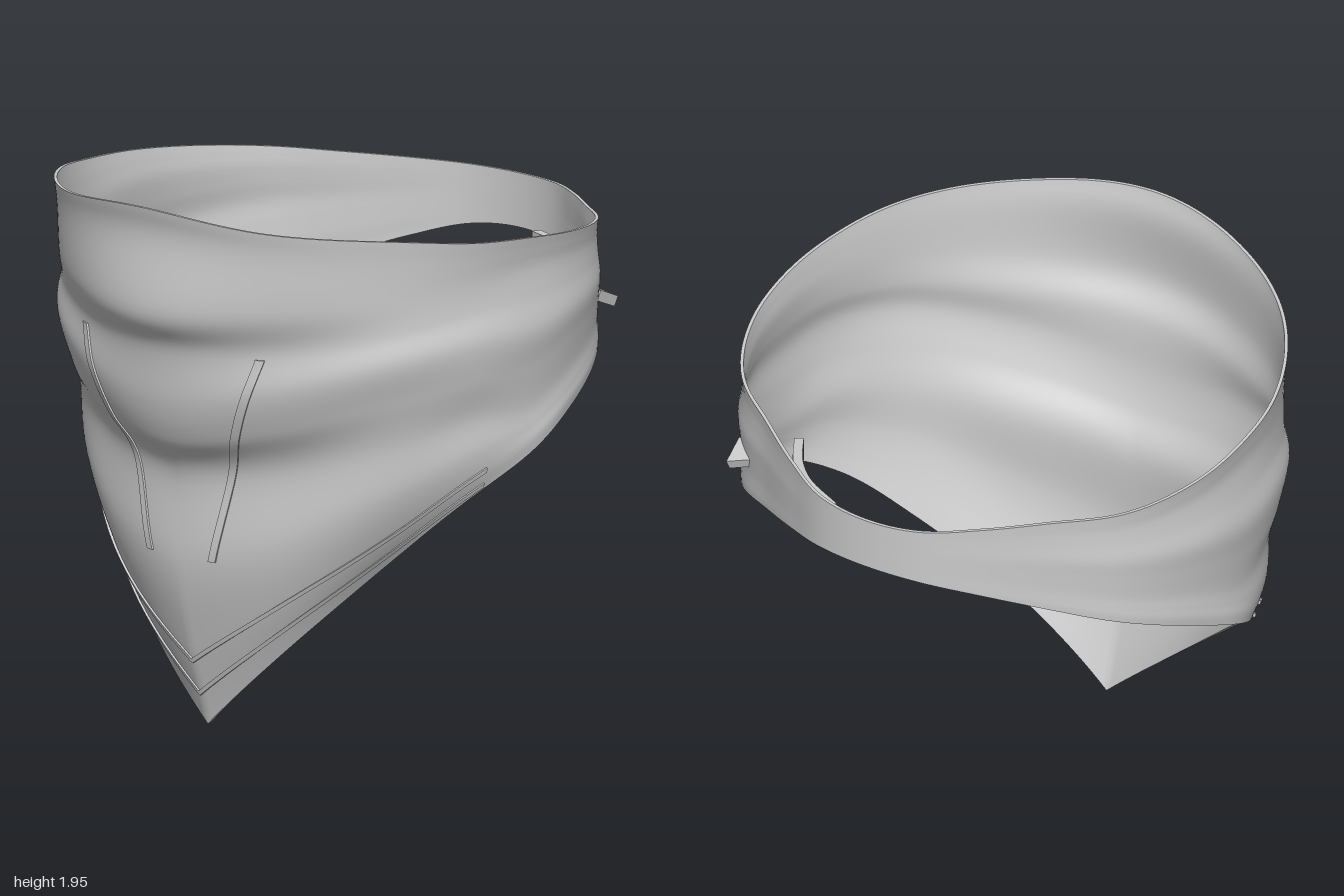
import * as THREE from 'three';
import { toCreasedNormals } from 'three/addons/utils/BufferGeometryUtils.js';

const material = new THREE.MeshStandardMaterial({ color: 0xcccccc, side: THREE.DoubleSide });

// Smooth curve through (xs, ys); flat flags level the slope at the first / last point
function smooth(xs, ys, x, flatStart = false, flatEnd = false) {
  const n = xs.length - 1;
  let i = 0;
  while (i < n - 1 && x > xs[i + 1]) i++;
  const sec = k => (ys[k + 1] - ys[k]) / (xs[k + 1] - xs[k]);
  const slope = k => {
    if (k === 0) return flatStart ? 0 : sec(0);
    if (k === n) return flatEnd ? 0 : sec(n - 1);
    const a = xs[k] - xs[k - 1], b = xs[k + 1] - xs[k];
    return (sec(k - 1) * b + sec(k) * a) / (a + b);
  };
  const h = xs[i + 1] - xs[i], t = (x - xs[i]) / h, t2 = t * t, t3 = t2 * t;
  return (2 * t3 - 3 * t2 + 1) * ys[i] + (t3 - 2 * t2 + t) * h * slope(i)
    + (3 * t2 - 2 * t3) * ys[i + 1] + (t3 - t2) * h * slope(i + 1);
}

// Fold lines of the cloth, top hem to bottom hem, at the front azimuths 0, 30, 60, 75, 90
const azimuths = [0, 30, 60, 75, 90];
const foldY = [
  [1.95, 1.905, 1.87, 1.84, 1.82], [1.83, 1.81, 1.78, 1.77, 1.77],
  [1.57, 1.60, 1.65, 1.68, 1.70], [1.43, 1.46, 1.54, 1.58, 1.60],
  [1.22, 1.31, 1.43, 1.47, 1.48], [1.08, 1.16, 1.29, 1.33, 1.35],
  [0.93, 1.00, 1.13, 1.19, 1.21], [0.60, 0.73, 0.95, 1.06, 1.13],
  [0.30, 0.52, 0.80, 0.96, 1.08], [0, 0.32, 0.67, 0.87, 1.03]];
const foldR = [
  [0.99, 0.985, 0.975, 0.97, 0.965], [0.972, 0.972, 0.967, 0.961, 0.957],
  [0.997, 0.965, 0.962, 0.955, 0.951], [0.93, 0.925, 0.965, 0.962, 0.963],
  [0.907, 0.93, 0.982, 0.985, 0.985], [0.865, 0.885, 0.95, 0.967, 0.97],
  [0.787, 0.81, 0.91, 0.935, 0.955], [0.79, 0.81, 0.895, 0.935, 0.96],
  [0.73, 0.76, 0.845, 0.915, 0.965], [0.64, 0.675, 0.775, 0.88, 0.96]];

// Narrowing back band: azimuth, radius, top, bottom, remaining fold depth
const back = [
  [105, 0.968, 1.795, 1.16, 0.75], [124, 0.962, 1.766, 1.295, 0.35], [140, 0.922, 1.75, 1.375, 0.15],
  [155, 0.94, 1.735, 1.45, 0.05], [168, 0.985, 1.722, 1.505, 0], [180, 0.997, 1.718, 1.52, 0]];
for (const [az, r, top, bottom, depth] of back) {
  azimuths.push(az);
  foldY.forEach((row, k) => {
    const t = (1.82 - row[4]) / 0.79;
    row.push(top + (bottom - top) * t);
    foldR[k].push(r + (foldR[k][4] - 0.962) * depth);
  });
}
const rowIds = foldY.map((_, k) => k);

// Cross-section of the cloth at one azimuth (degrees, positive toward +x);
// the upper folds round over the centre line, the lower ones come to a point
function column(az) {
  const a = Math.abs(az);
  const ys = foldY.map((row, k) => smooth(azimuths, row, a, k < 6, true));
  const rs = foldR.map(row => smooth(azimuths, row, a, true, true));
  return { y: v => smooth(rowIds, ys, v), r: v => smooth(rowIds, rs, v) };
}

function polar(az, r, y) {
  const a = az * Math.PI / 180;
  return new THREE.Vector3(r * Math.sin(a), y, r * Math.cos(a));
}

// Point on the cloth at a given azimuth and height, lifted outward
function onCloth(az, y, lift) {
  const c = column(az);
  let lo = 0, hi = 9;
  for (let k = 0; k < 30; k++) {
    const mid = (lo + hi) / 2;
    if (c.y(mid) > y) lo = mid; else hi = mid;
  }
  return polar(az, c.r(lo) + lift, y);
}

function buildGeometry(points, index) {
  const g = new THREE.BufferGeometry();
  g.setAttribute('position', new THREE.Float32BufferAttribute(points.flatMap(p => p.toArray()), 3));
  g.setIndex(index);
  return toCreasedNormals(g, 0.7);
}

// Closed loop of thin cloth: each column runs down the outside and back up the inside
function clothGeometry(cols = 200, rows = 72, thickness = 0.012) {
  const points = [], index = [], ring = 2 * (rows + 1);
  for (let i = 0; i < cols; i++) {
    const az = -180 + 360 * i / cols, c = column(az);
    for (let j = 0; j < ring; j++) {
      const inside = j > rows;
      const v = 9 * (inside ? ring - 1 - j : j) / rows;
      points.push(polar(az, c.r(v) - (inside ? thickness : 0), c.y(v)));
    }
  }
  for (let i = 0; i < cols; i++) {
    for (let j = 0; j < ring; j++) {
      const p = i * ring, q = ((i + 1) % cols) * ring, k = (j + 1) % ring;
      index.push(p + j, p + k, q + j, q + j, p + k, q + k);
    }
  }
  return buildGeometry(points, index);
}

// Four-sided strip swept through frames { p, u, v }: centre and two half-extents
function stripGeometry(frames) {
  const points = [], index = [];
  for (const { p, u, v } of frames) {
    for (const [a, b] of [[-1, -1], [1, -1], [1, 1], [-1, 1]]) {
      points.push(p.clone().addScaledVector(u, a).addScaledVector(v, b));
    }
  }
  for (let i = 0; i < frames.length - 1; i++) {
    for (let k = 0; k < 4; k++) {
      const a = i * 4 + k, b = i * 4 + (k + 1) % 4;
      index.push(a, b, a + 4, b, b + 4, a + 4);
    }
  }
  const e = (frames.length - 1) * 4;
  index.push(0, 2, 1, 0, 3, 2, e, e + 1, e + 2, e, e + 2, e + 3);
  return buildGeometry(points, index);
}

// Frame of a trim lying on the cloth between two of its points
function trimFrame(a, b, az) {
  return {
    p: a.clone().add(b).multiplyScalar(0.5),
    u: b.clone().sub(a).multiplyScalar(0.5),
    v: polar(az, 0.005, 0),
  };
}

// Raised trim running parallel to the pointed hem
function hemTrim(centreGap, endGap) {
  const frames = [];
  for (let i = 0; i <= 80; i++) {
    const az = -79 + 158 * i / 80;
    const y = column(az).y(9) + centreGap + (endGap - centreGap) * Math.abs(az) / 79;
    frames.push(trimFrame(onCloth(az, y - 0.009, 0.004), onCloth(az, y + 0.009, 0.004), az));
  }
  return stripGeometry(frames);
}

// Slanted seam beside the nose
function noseSeam(side) {
  const ys = [0.64, 1.03, 1.24, 1.43], az = [10.7, 18, 22.5, 27], frames = [];
  for (let i = 0; i <= 40; i++) {
    const y = 0.64 + 0.79 * i / 40, a = side * smooth(ys, az, y);
    frames.push(trimFrame(onCloth(a - 1.1, y, 0.002), onCloth(a + 1.1, y, 0.002), a));
  }
  return stripGeometry(frames);
}

// Loose tail of the knot: path, width direction, end half-widths and half-thickness
function knotTail(path, across, widths, thickness) {
  const curve = new THREE.CatmullRomCurve3(path.map(p => new THREE.Vector3(...p)));
  const dir = new THREE.Vector3(...across).normalize(), frames = [];
  for (let i = 0; i <= 16; i++) {
    const t = i / 16, normal = curve.getTangent(t).cross(dir).normalize();
    frames.push({
      p: curve.getPoint(t),
      u: dir.clone().multiplyScalar(THREE.MathUtils.lerp(...widths, t)),
      v: normal.multiplyScalar(thickness),
    });
  }
  return stripGeometry(frames);
}

export function createModel() {
  const group = new THREE.Group();
  const add = (name, geometry) => {
    const mesh = new THREE.Mesh(geometry, material);
    mesh.name = name;
    group.add(mesh);
  };
  add('cloth', clothGeometry());
  add('upperHemTrim', hemTrim(0.245, 0.08));
  add('lowerHemTrim', hemTrim(0.12, 0.02));
  add('leftNoseSeam', noseSeam(1));
  add('rightNoseSeam', noseSeam(-1));
  add('innerKnotTail', knotTail(
    [[0.25, 1.55, -0.81], [0.40, 1.55, -0.74], [0.50, 1.54, -0.64], [0.57, 1.53, -0.52]],
    [0, 1, 0], [0.03, 0.045], 0.017));
  add('outerKnotTail', knotTail(
    [[0.63, 1.49, -0.54], [0.70, 1.485, -0.565], [0.80, 1.465, -0.585]],
    [0.1, 0.4, 1], [0.025, 0.055], 0.02));
  return group;
}
